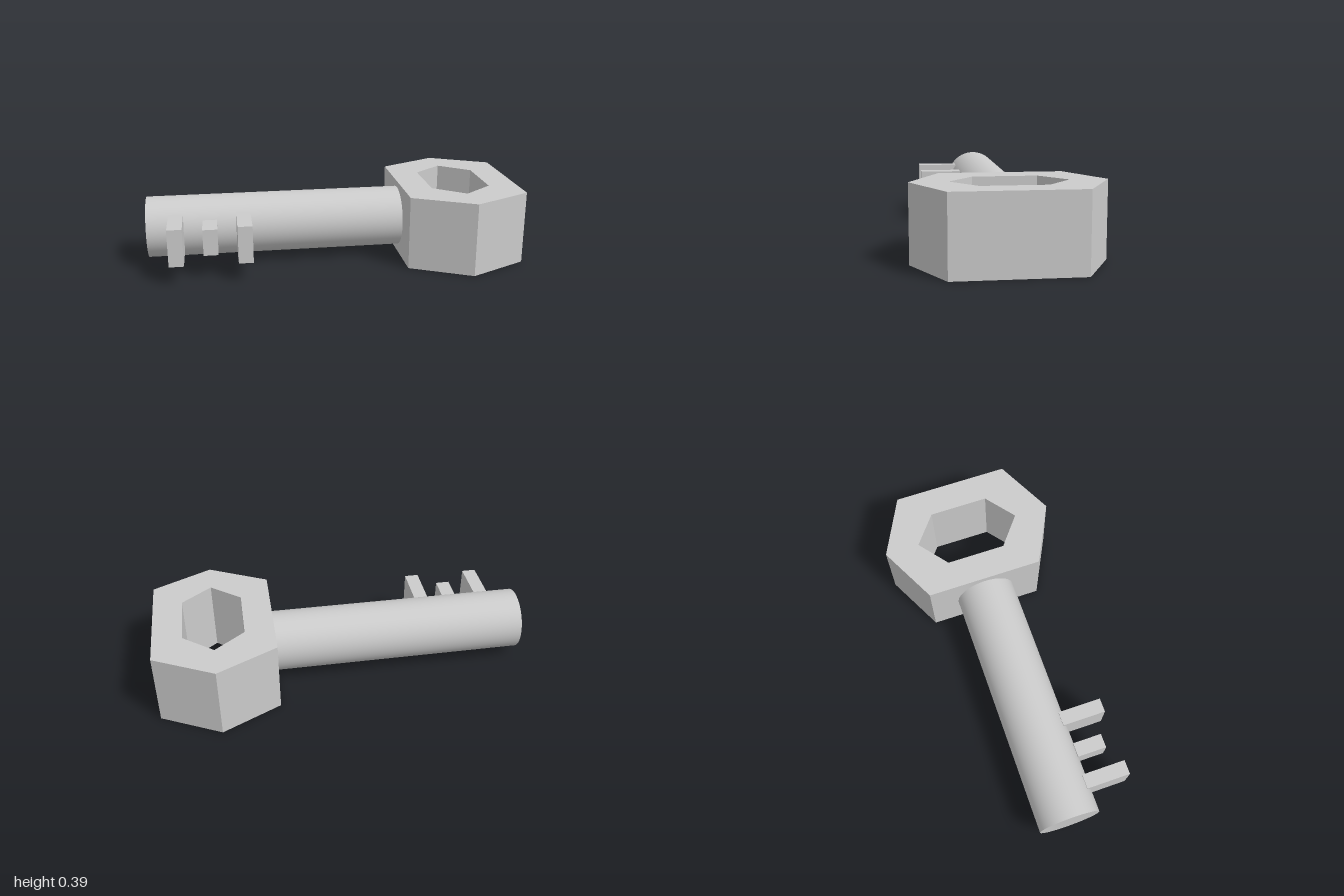
import * as THREE from 'three';

const HEIGHT = 0.393;
const MID_Y = HEIGHT / 2;
const HEAD_X = 0.684;

// Stretched hexagon with its points along z
function hexagon(PathType, halfWidth, shoulder, tip) {
  return new PathType([
    [0, -tip], [halfWidth, -shoulder], [halfWidth, shoulder],
    [0, tip], [-halfWidth, shoulder], [-halfWidth, -shoulder],
  ].map(([x, y]) => new THREE.Vector2(x, y)));
}

export function createModel() {
  const group = new THREE.Group();
  const flat = new THREE.MeshStandardMaterial({ color: 0xcccccc, flatShading: true });
  const smooth = new THREE.MeshStandardMaterial({ color: 0xcccccc });

  function add(name, geometry, material, x, y, z) {
    const mesh = new THREE.Mesh(geometry, material);
    mesh.name = name;
    mesh.position.set(x, y, z);
    group.add(mesh);
  }

  // Hexagonal head with a hexagonal hole
  const outline = hexagon(THREE.Shape, 0.316, 0.316, 0.474);
  outline.holes.push(hexagon(THREE.Path, 0.16, 0.16, 0.286));
  const head = new THREE.ExtrudeGeometry(outline, { depth: HEIGHT, bevelEnabled: false });
  head.rotateX(-Math.PI / 2);
  add('head', head, flat, HEAD_X, 0, 0);

  // Round shaft, its inner end sunk into the head wall
  const start = -1, end = 0.42;
  const shaft = new THREE.CylinderGeometry(0.163, 0.163, end - start, 64);
  shaft.rotateZ(Math.PI / 2);
  add('shaft', shaft, smooth, (start + end) / 2, MID_Y, 0);

  // Three teeth on the front of the shaft: x, height, back z, front z
  [
    [-0.844, 0.197, 0.133, 0.367],
    [-0.669, 0.139, 0.152, 0.308],
    [-0.493, 0.197, 0.133, 0.367],
  ].forEach(([x, height, back, front], i) => {
    add(`tooth${i + 1}`, new THREE.BoxGeometry(0.076, height, front - back), flat,
      x, 0.2, (back + front) / 2);
  });

  return group;
}
